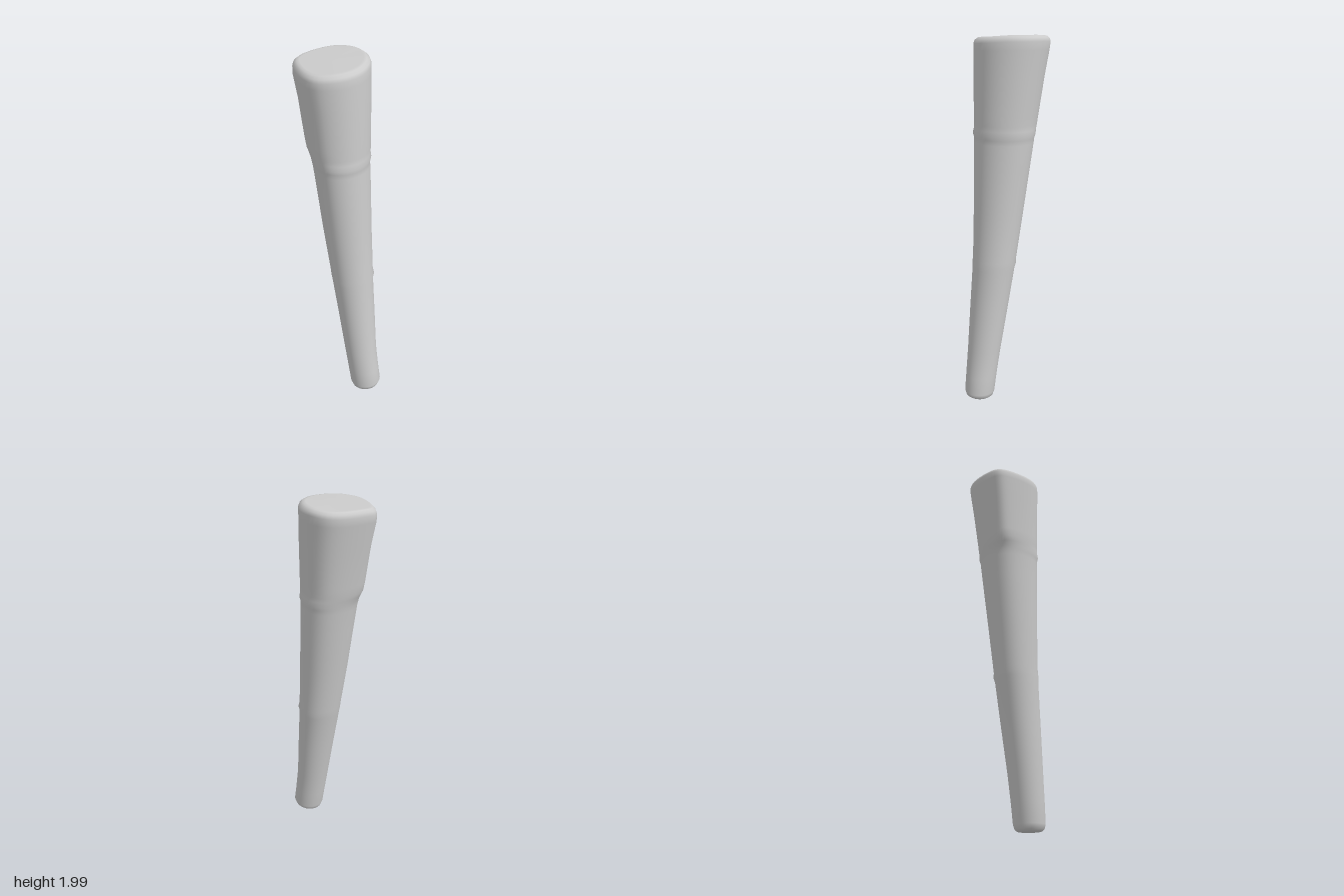
import * as THREE from 'three';

const SIDES = 48;

// Cross-sections from bottom to top: y, xMin, xMax, zMin, zMax, pinch of the -x side
const SECTIONS = [
  [0.008, 0.105, 0.215, 0.05, 0.155, 0.0],
  [0.01, 0.095, 0.225, 0.04, 0.165, 0.0],
  [0.02, 0.082, 0.238, 0.028, 0.178, 0.0],
  [0.045, 0.072, 0.247, 0.02, 0.185, 0.0],
  [0.15, 0.055, 0.233, 0.012, 0.184, 0.02],
  [0.3, 0.03, 0.213, -0.003, 0.181, 0.05],
  [0.55, -0.012, 0.193, -0.034, 0.176, 0.08],
  [0.78, -0.052, 0.174, -0.061, 0.171, 0.1],
  [0.805, -0.058, 0.178, -0.069, 0.173, 0.1],
  [0.83, -0.06, 0.171, -0.067, 0.17, 0.1],
  [1.1, -0.103, 0.154, -0.096, 0.174, 0.14],
  [1.35, -0.138, 0.141, -0.124, 0.18, 0.18],
  [1.46, -0.154, 0.134, -0.136, 0.183, 0.2],
  [1.485, -0.16, 0.133, -0.138, 0.185, 0.22],
  [1.505, -0.165, 0.138, -0.145, 0.19, 0.25],
  [1.53, -0.176, 0.134, -0.144, 0.186, 0.32],
  [1.555, -0.188, 0.134, -0.147, 0.187, 0.38],
  [1.6, -0.197, 0.133, -0.152, 0.189, 0.42],
  [1.8, -0.226, 0.128, -0.177, 0.195, 0.45],
  [1.93, -0.25, 0.123, -0.195, 0.2, 0.47],
  [1.97, -0.25, 0.122, -0.2, 0.2, 0.47],
  [1.988, -0.244, 0.115, -0.194, 0.193, 0.45],
  [1.998, -0.23, 0.1, -0.18, 0.177, 0.42],
  [2.0, -0.215, 0.085, -0.165, 0.16, 0.4],
];

// Skin closed rings together, with a centre point at each end
function loft(sections) {
  const pos = [], index = [];
  for (const [y, x0, x1, z0, z1, pinch] of sections) {
    const cx = (x0 + x1) / 2, cz = (z0 + z1) / 2;
    for (let i = 0; i < SIDES; i++) {
      const a = (i / SIDES) * Math.PI * 2, c = Math.cos(a), s = Math.sin(a);
      const side = Math.max(0, -c);
      const x = cx + c * (x1 - x0) / 2;
      const z = cz + s * (z1 - z0) / 2 * (1 - pinch * side * side);
      // the top slopes down towards the front and -x, the foot is slightly tilted
      const top = THREE.MathUtils.smoothstep(y, 1.85, 1.99);
      const foot = 1 - THREE.MathUtils.smoothstep(y, 0.02, 0.15);
      const drop = 0.02 * Math.max(0, (z + 0.05) / 0.25) + 0.016 * Math.max(0, -x / 0.25);
      pos.push(x, y - top * drop + foot * 0.08 * (x - 0.1), z);
    }
  }
  const last = sections.length - 1;
  for (let r = 0; r < last; r++) {
    for (let i = 0; i < SIDES; i++) {
      const j = (i + 1) % SIDES;
      const a = r * SIDES + i, b = r * SIDES + j;
      index.push(a, a + SIDES, b, b, a + SIDES, b + SIDES);
    }
  }
  for (const [r, up] of [[0, false], [last, true]]) {
    const centre = pos.length / 3, sum = [0, 0, 0];
    for (let i = 0; i < SIDES; i++)
      for (let k = 0; k < 3; k++) sum[k] += pos[(r * SIDES + i) * 3 + k] / SIDES;
    pos.push(...sum);
    for (let i = 0; i < SIDES; i++) {
      const a = r * SIDES + i, b = r * SIDES + (i + 1) % SIDES;
      if (up) index.push(centre, b, a);
      else index.push(centre, a, b);
    }
  }
  const geo = new THREE.BufferGeometry();
  geo.setAttribute('position', new THREE.Float32BufferAttribute(pos, 3));
  geo.setIndex(index);
  geo.computeVertexNormals();
  return geo;
}

export function createModel() {
  const group = new THREE.Group();
  group.name = 'taperedLeg';
  // One leaning, tapering shaft with a swollen head and two faint raised bands
  const shaft = new THREE.Mesh(loft(SECTIONS), new THREE.MeshStandardMaterial({ color: 0xcccccc }));
  shaft.name = 'shaft';
  group.add(shaft);
  return group;
}
